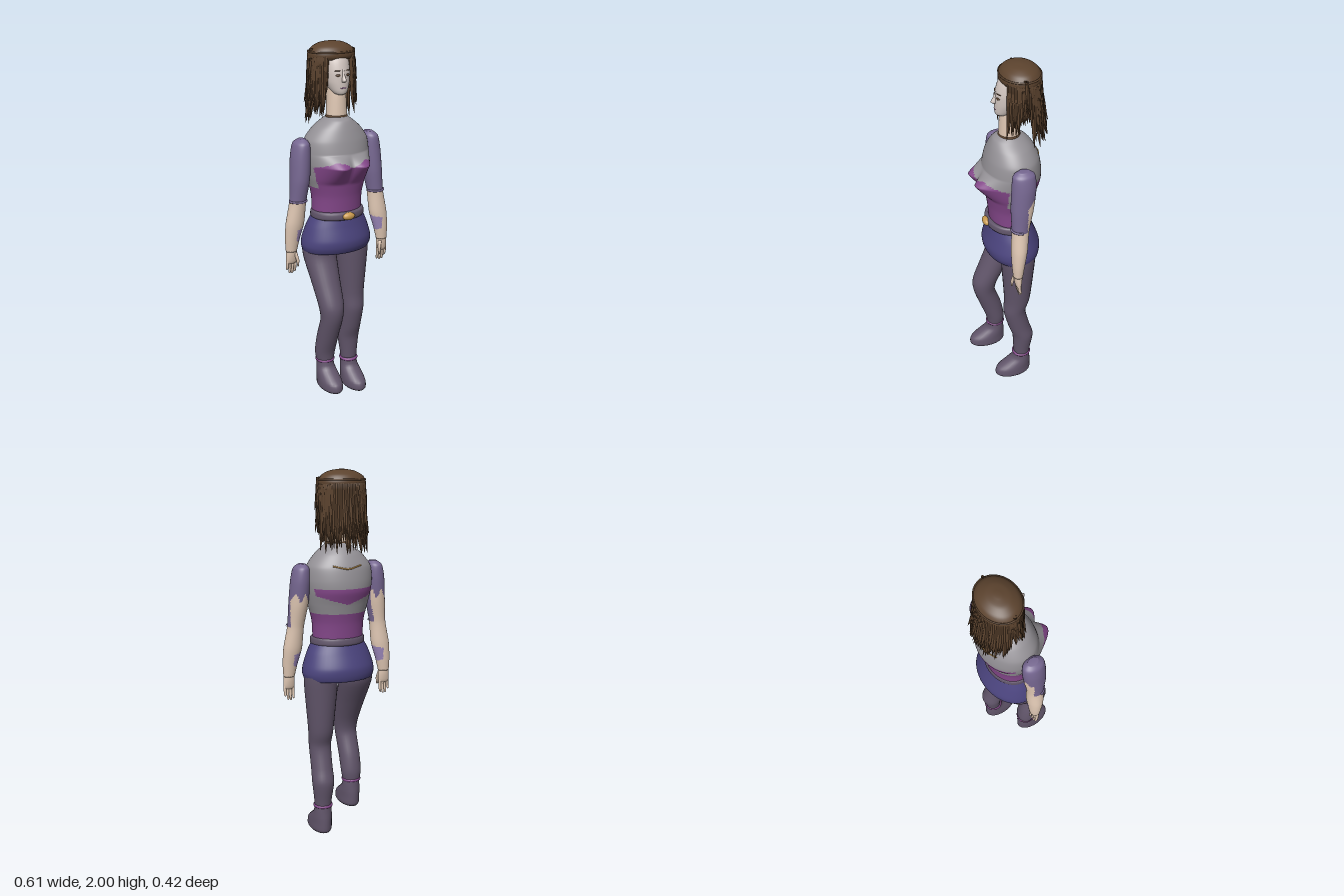
import * as THREE from 'three';

const mat = (name, color) => Object.assign(new THREE.MeshStandardMaterial({ color }), { name });

export function createModel() {
  const grey = mat('grey top', 0x949196), purple = mat('purple bodice', 0x84478a);
  const blue = mat('blue shorts', 0x4b447e), dark = mat('dark leggings', 0x61556a);
  const violet = mat('violet sleeve', 0x766791), skin = mat('skin', 0xdfc7b3);
  const pale = mat('pale face', 0xd2c6c0), brown = mat('brown hair', 0x5c432e);
  const gold = mat('gold', 0xc99a4e), lilac = mat('lilac bracer', 0x9a86b9);
  const model = new THREE.Group();

  const add = (name, geo, material, pos = [0, 0, 0], parent = model) => {
    const m = new THREE.Mesh(geo, material);
    m.name = name;
    m.position.set(...pos);
    parent.add(m);
    return m;
  };

  // Smooth closed surface through horizontal ellipses [x, y, z, rx, rz], top to bottom.
  // pick chooses a material index per face, warp moves each vertex.
  function loft(sections, { seg = 24, rows = 24, pick, warp } = {}) {
    const centre = new THREE.CatmullRomCurve3(sections.map(s => new THREE.Vector3(s[0], s[1], s[2])), false, 'catmullrom', 0.4);
    const radii = new THREE.CatmullRomCurve3(sections.map(s => new THREE.Vector3(s[3], s[4], 0)), false, 'catmullrom', 0.4);
    const pts = [];
    for (let i = 0; i <= rows; i++) {
      const c = centre.getPoint(i / rows), r = radii.getPoint(i / rows);
      for (let j = 0; j < seg; j++) {
        const a = j / seg * Math.PI * 2;
        const p = new THREE.Vector3(c.x + r.x * Math.sin(a), c.y, c.z + r.y * Math.cos(a));
        if (warp) warp(p);
        pts.push(p);
      }
    }
    pts.push(centre.getPoint(0), centre.getPoint(1));
    const top = pts.length - 2, bottom = pts.length - 1, buckets = [];
    const tri = (a, b, c) => {
      const mid = new THREE.Vector3().add(pts[a]).add(pts[b]).add(pts[c]).divideScalar(3);
      const k = pick ? pick(mid) : 0;
      (buckets[k] ??= []).push(a, b, c);
    };
    for (let j = 0; j < seg; j++) {
      const n = (j + 1) % seg, last = rows * seg;
      tri(top, j, n);
      tri(bottom, last + n, last + j);
      for (let i = 0; i < rows; i++) {
        const u = i * seg, d = u + seg;
        tri(d + j, d + n, u + n);
        tri(d + j, u + n, u + j);
      }
    }
    const geo = new THREE.BufferGeometry().setFromPoints(pts);
    const index = [];
    buckets.forEach((b, k) => {
      if (pick) geo.addGroup(index.length, b.length, k);
      index.push(...b);
    });
    geo.setIndex(index);
    geo.computeVertexNormals();
    return geo;
  }

  const ring = (rx, rz, r, arc = Math.PI * 2) =>
    new THREE.TorusGeometry(1, r / rx, 8, 32, arc).rotateX(Math.PI / 2).scale(rx, rx, rz);
  const ball = (x, y, z) => new THREE.SphereGeometry(1, 20, 14).scale(x, y, z);

  // Torso with bust and a bodice whose top edge dips in the middle
  const bodice = p => {
    const ax = Math.abs(p.x);
    if (p.y < 1.25) return 1;
    const edge = ax < 0.09 ? 1.37 + 0.035 * Math.sin(ax / 0.09 * Math.PI / 2) : 1.405 - (ax - 0.09) * 0.45;
    if (p.z > 0.05 && p.y < edge) return 1;
    return p.z < -0.085 && p.y < 1.39 && p.y > 1.305 + ax * 0.3 ? 1 : 0;
  };
  const bust = p => {
    if (p.z < 0) return;
    const h = p.y > 1.375 ? 1 - (p.y - 1.375) / 0.06 : 1 - (1.375 - p.y) / 0.1;
    if (h > 0) p.z += 0.07 * h * Math.exp(-(((Math.abs(p.x) - 0.07) / 0.07) ** 2));
  };
  add('torso', loft([
    [0, 1.62, -0.005, 0.055, 0.055], [0, 1.6, -0.005, 0.08, 0.085], [0, 1.56, -0.012, 0.13, 0.112],
    [0, 1.5, -0.017, 0.175, 0.137], [0, 1.43, -0.016, 0.185, 0.151], [0, 1.37, -0.014, 0.18, 0.153],
    [0, 1.3, -0.008, 0.168, 0.138], [0, 1.2, -0.007, 0.144, 0.118], [0, 1.08, -0.007, 0.14, 0.108],
  ], { seg: 96, rows: 96, pick: bodice, warp: bust }), [grey, purple]);
  const chain = new THREE.CatmullRomCurve3([[-0.08, 1.51, -0.137], [0, 1.495, -0.157], [0.08, 1.51, -0.137]]
    .map(p => new THREE.Vector3(...p)));
  add('backTrim', new THREE.TubeGeometry(chain, 16, 0.004, 6), gold);

  // Belt and shorts
  add('belt', loft([[0, 1.118, -0.002, 0.142, 0.115], [0, 1.11, 0, 0.15, 0.123], [0, 1.085, 0, 0.152, 0.125],
    [0, 1.075, 0, 0.146, 0.118]], { seg: 40, rows: 9 }), dark);
  add('buckle', ball(0.036, 0.021, 0.02), gold, [0, 1.097, 0.125]);
  add('shorts', loft([[0, 1.09, -0.003, 0.145, 0.112], [0, 1.03, -0.008, 0.175, 0.13], [0, 0.96, -0.012, 0.198, 0.152],
    [0, 0.92, -0.014, 0.203, 0.151], [0, 0.888, -0.017, 0.193, 0.139], [0, 0.884, -0.017, 0.17, 0.12]],
  { seg: 48, rows: 30 }), blue);

  // Legs: the left one stands, the right one steps forward and is lifted
  const leftLeg = [[0.105, 0.93, -0.025, 0.092, 0.095], [0.105, 0.85, -0.022, 0.092, 0.093], [0.105, 0.6, -0.018, 0.07, 0.074],
    [0.105, 0.5, -0.003, 0.062, 0.063], [0.105, 0.38, -0.03, 0.06, 0.062], [0.106, 0.3, -0.054, 0.062, 0.06],
    [0.106, 0.2, -0.05, 0.05, 0.05], [0.106, 0.14, -0.047, 0.045, 0.045]];
  const rightLeg = [[-0.103, 0.93, -0.025, 0.092, 0.095], [-0.103, 0.85, -0.01, 0.092, 0.09], [-0.102, 0.72, 0.052, 0.08, 0.079],
    [-0.1, 0.6, 0.107, 0.07, 0.072], [-0.1, 0.52, 0.114, 0.062, 0.062], [-0.105, 0.4, 0.076, 0.06, 0.062],
    [-0.107, 0.3, 0.05, 0.058, 0.054], [-0.107, 0.22, 0.048, 0.045, 0.045]];
  const foot = loft([[0, 0.17, -0.047, 0.045, 0.047], [0, 0.12, -0.043, 0.05, 0.054], [0, 0.085, -0.022, 0.056, 0.078],
    [0, 0.05, 0.002, 0.06, 0.103], [0, 0.015, 0.007, 0.061, 0.107], [0, 0, 0.006, 0.052, 0.098]], { rows: 20 });
  for (const [side, leg, at] of [['left', leftLeg, [0.105, 0, 0]], ['right', rightLeg, [-0.107, 0.09, 0.095]]]) {
    add(side + 'Leg', loft(leg, { seg: 28, rows: 35 }), dark);
    add(side + 'Boot', foot, dark, at);
    add(side + 'Anklet', ring(0.047, 0.047, 0.008), purple, [at[0], at[1] + 0.158, at[2] - 0.047]);
  }

  // Arms: s is the side, dz swings the forearm forwards or backwards
  for (const [side, s, dz] of [['left', 1, 0.035], ['right', -1, -0.03]]) {
    const arm = new THREE.Group();
    arm.name = side + 'Arm';
    model.add(arm);
    const paint = p => {
      const jag = 1.34 + 0.02 * Math.sin(p.x * 130);
      if (p.y > 1.18 && (p.z > -0.03 + dz * 0.4 || p.y > jag)) return 1;
      const inner = s * p.x < 0.252;
      return inner && Math.hypot((p.y - 1.0) / 0.043, (p.z - dz * 0.8) / 0.06) < 1 ? 2 : 0;
    };
    add('sleeveAndForearm', loft([
      [s * 0.205, 1.515, -0.012, 0.02, 0.03], [s * 0.21, 1.49, -0.012, 0.042, 0.058], [s * 0.215, 1.42, -0.011, 0.052, 0.064],
      [s * 0.223, 1.3, dz * 0.1 - 0.004, 0.052, 0.06], [s * 0.235, 1.18, dz * 0.35, 0.045, 0.046],
      [s * 0.249, 1.06, dz * 0.65, 0.051, 0.043], [s * 0.262, 0.97, dz * 0.9, 0.041, 0.034], [s * 0.268, 0.9, dz, 0.031, 0.026],
    ], { seg: 40, rows: 84, pick: paint }), [skin, violet, lilac], [0, 0, 0], arm);
    add('cuff', ring(0.047, 0.047, 0.006, Math.PI), violet, [s * 0.235, 1.185, dz * 0.35], arm);
    add('palm', loft([[s * 0.268, 0.92, dz, 0.028, 0.024], [s * 0.268, 0.88, dz, 0.032, 0.022],
      [s * 0.269, 0.845, dz, 0.032, 0.016], [s * 0.269, 0.83, dz, 0.026, 0.01]], { seg: 16, rows: 10 }), skin, [0, 0, 0], arm);
    [0.775, 0.768, 0.77, 0.79].forEach((tip, i) => {
      const x = s * (0.246 + i * 0.0155);
      add('finger', loft([[x, 0.85, dz, 0.008, 0.01], [x, 0.81, dz - 0.002, 0.0075, 0.009],
        [x, tip + 0.006, dz - 0.008, 0.006, 0.007], [x, tip, dz - 0.009, 0.002, 0.002]], { seg: 8, rows: 8 }), skin, [0, 0, 0], arm);
    });
    add('thumb', loft([[s * 0.25, 0.89, dz + 0.014, 0.01, 0.01], [s * 0.242, 0.85, dz + 0.023, 0.009, 0.009],
      [s * 0.242, 0.815, dz + 0.025, 0.004, 0.004]], { seg: 8, rows: 8 }), skin, [0, 0, 0], arm);
  }

  // Neck, choker and head
  add('neck', loft([[0, 1.8, -0.015, 0.05, 0.05], [0, 1.72, -0.008, 0.052, 0.053], [0, 1.59, -0.005, 0.058, 0.056]]), skin);
  add('choker', loft([[0, 1.626, -0.005, 0.058, 0.056], [0, 1.605, -0.005, 0.063, 0.06]], { seg: 32, rows: 2 }), brown);
  add('head', loft([[0, 1.955, -0.05, 0.05, 0.05], [0, 1.935, -0.045, 0.07, 0.08], [0, 1.9, -0.035, 0.074, 0.089],
    [0, 1.85, -0.018, 0.072, 0.085], [0, 1.8, -0.004, 0.064, 0.074], [0, 1.76, 0.016, 0.047, 0.054],
    [0, 1.742, 0.03, 0.033, 0.036], [0, 1.735, 0.035, 0.018, 0.02]], { seg: 36, rows: 40 }), pale);
  add('nose', loft([[0, 1.865, 0.06, 0.006, 0.006], [0, 1.835, 0.067, 0.007, 0.01], [0, 1.812, 0.072, 0.012, 0.018],
    [0, 1.802, 0.068, 0.009, 0.012]], { seg: 12, rows: 10 }), pale);
  add('mouth', ball(0.018, 0.004, 0.004), purple, [0, 1.772, 0.067]);
  for (const s of [-1, 1]) {
    const eye = add('eye', ball(0.013, 0.006, 0.0045), brown, [s * 0.029, 1.837, 0.0615]);
    const brow = add('brow', ball(0.017, 0.0025, 0.004), brown, [s * 0.03, 1.86, 0.058]);
    eye.rotation.y = brow.rotation.y = s * 0.4;
  }

  // Hair: a low dome and two rings of ragged hanging strands, open at the face
  add('hairCap', loft([[0, 2, -0.06, 0.015, 0.012], [0, 1.992, -0.06, 0.065, 0.052], [0, 1.972, -0.06, 0.105, 0.086],
    [0, 1.945, -0.06, 0.127, 0.104], [0, 1.925, -0.06, 0.128, 0.105], [0, 1.91, -0.06, 0.118, 0.097]],
  { seg: 48, rows: 25 }), brown);
  add('hairBand', ring(0.126, 0.103, 0.005), brown, [0, 1.948, -0.06]);
  let seed = 7;
  const rnd = () => (seed = (seed * 16807) % 2147483647) / 2147483647;
  const hair = new THREE.Group();
  hair.name = 'hairStrands';
  model.add(hair);
  const count = 72;
  for (let layer = 0; layer < 2; layer++) {
    for (let i = 0; i < count; i++) {
      const a = (36 + 288 * (i + layer * 0.5) / (count - 0.5)) * Math.PI / 180;
      const sx = Math.sin(a), cz = Math.cos(a), k = 1 - layer * 0.08;
      const sideGap = Math.exp(-(((Math.abs(sx) - 1) / 0.035) ** 2)) * (cz > -0.2 ? 0.1 : 0);
      const tip = 1.57 + (cz > 0 ? 0.06 : 0) + sideGap + rnd() * 0.12;
      const out = 1.1 + rnd() * 0.12, back = cz < 0 ? 0.03 * -cz : 0;
      const at = (y, f, r, drop) => [0.12 * sx * f * k, y, -0.06 + 0.098 * cz * f * k - back * drop, r, r];
      add('strand', loft([at(1.93, 1, 0.009, 0), at(1.85, 1.04, 0.0095, 0.1), at(tip + 0.12, 1.06, 0.0085, 0.4),
        at(tip + 0.05, (out + 1.06) / 2, 0.006, 0.7), at(tip, out, 0.001, 1)], { seg: 6, rows: 10 }), brown, [0, 0, 0], hair);
    }
  }
  return model;
}
